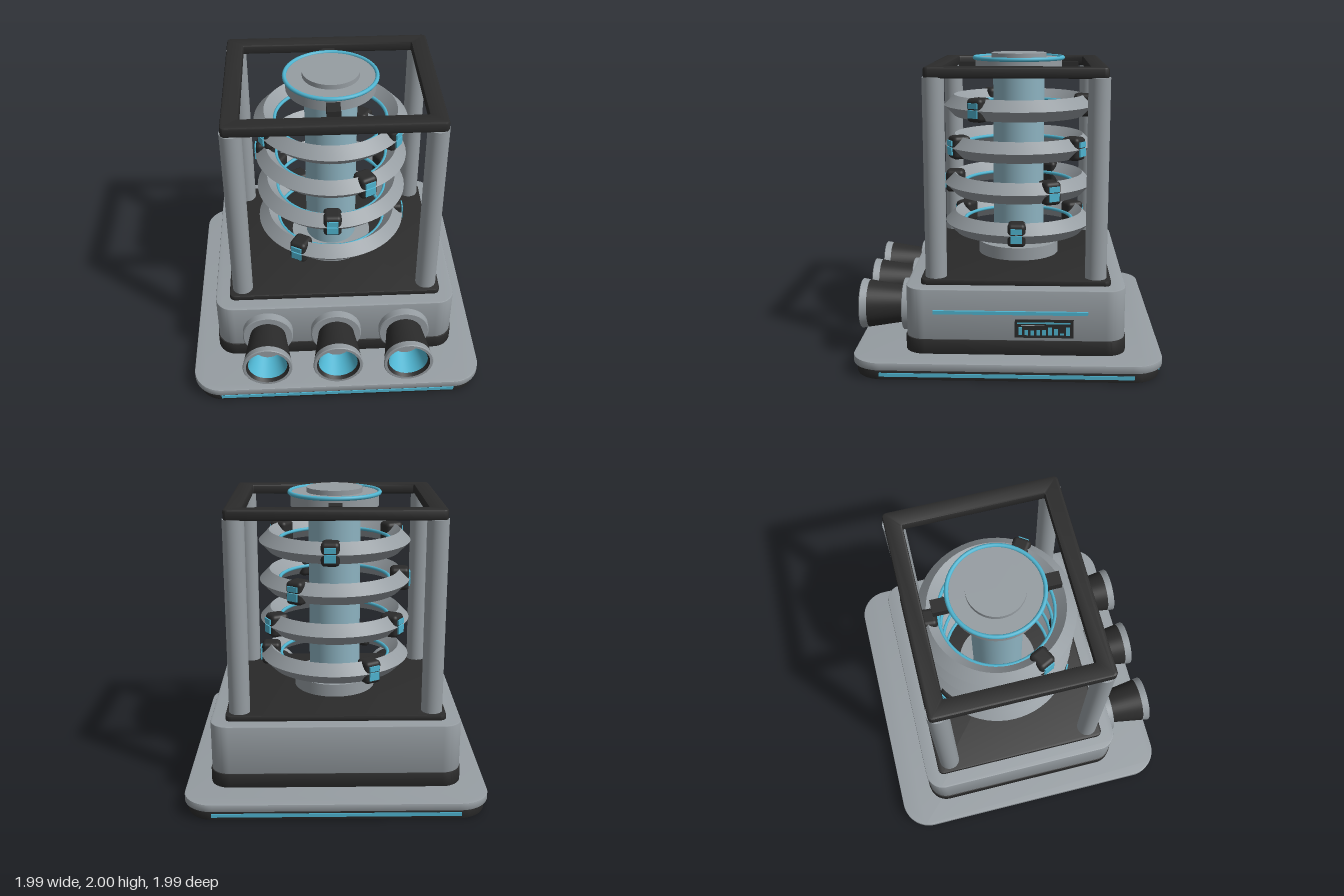
import * as THREE from 'three';
import { toCreasedNormals } from 'three/addons/utils/BufferGeometryUtils.js';
import { RoundedBoxGeometry } from 'three/addons/geometries/RoundedBoxGeometry.js';

const material = (name, color) => {
  const m = new THREE.MeshStandardMaterial({ color });
  m.name = name;
  return m;
};

// Rounded rectangle outline centred on the origin
function roundedRect(path, hx, hy, r) {
  path.moveTo(hx, -hy + r);
  path.lineTo(hx, hy - r);
  path.absarc(hx - r, hy - r, r, 0, Math.PI / 2);
  path.lineTo(-hx + r, hy);
  path.absarc(-hx + r, hy - r, r, Math.PI / 2, Math.PI);
  path.lineTo(-hx, -hy + r);
  path.absarc(-hx + r, -hy + r, r, Math.PI, Math.PI * 1.5);
  path.lineTo(hx - r, -hy);
  path.absarc(hx - r, -hy + r, r, Math.PI * 1.5, Math.PI * 2);
  return path;
}

// Horizontal slab with rounded corners, from y0 to y1, with an optional opening
function slab(hx, hz, r, y0, y1, bevel, opening) {
  const shape = roundedRect(new THREE.Shape(), hx, hz, r);
  if (opening) shape.holes.push(roundedRect(new THREE.Path(), opening[0], opening[1], 0.005));
  const g = new THREE.ExtrudeGeometry(shape, {
    depth: y1 - y0 - 2 * bevel, curveSegments: 10, bevelEnabled: true,
    bevelThickness: bevel, bevelSize: bevel, bevelOffset: -bevel, bevelSegments: 2,
  });
  g.rotateX(-Math.PI / 2).translate(0, y0 + bevel, 0);
  return toCreasedNormals(g, 0.6);
}

const lathe = (points, segments = 48) => toCreasedNormals(
  new THREE.LatheGeometry(points.map(([r, y]) => new THREE.Vector2(r, y)), segments), 0.5);

export function createModel() {
  const model = new THREE.Group();
  model.name = 'reactorDevice';
  const grey = material('metalGrey', 0x969da2);
  const dark = material('charcoal', 0x2b2b2b);
  const blue = material('glowBlue', 0x4fb4d0);
  const pale = material('paleBlue', 0x8db3c1);

  const add = (parent, name, geometry, mat, x = 0, y = 0, z = 0) => {
    const mesh = new THREE.Mesh(geometry, mat);
    mesh.name = name;
    mesh.position.set(x, y, z);
    parent.add(mesh);
    return mesh;
  };
  const box = (w, h, d) => new THREE.BoxGeometry(w, h, d);
  const cylinder = (r, h) => new THREE.CylinderGeometry(r, r, h, 48);

  // Base plates with a light strip on each side
  add(model, 'baseBottom', slab(0.975, 0.975, 0.19, 0, 0.075, 0.008), dark);
  add(model, 'baseTop', slab(0.995, 0.995, 0.2, 0.07, 0.12, 0.005), grey);
  for (let i = 0; i < 4; i++) {
    const side = new THREE.Group();
    side.name = 'baseLight';
    side.rotation.y = i * Math.PI / 2;
    add(side, 'baseLightStrip', box(1.61, 0.024, 0.012), blue, 0, 0.036, 0.975);
    model.add(side);
  }

  // Everything above the base sits slightly towards the back
  const upper = new THREE.Group();
  upper.name = 'upperAssembly';
  upper.position.z = -0.05;
  model.add(upper);

  // Housing
  add(upper, 'housingSkirt', slab(0.834, 0.715, 0.13, 0.12, 0.218, 0.004), dark);
  add(upper, 'housing', slab(0.828, 0.708, 0.125, 0.215, 0.552, 0.006), grey);
  add(upper, 'deck', slab(0.73, 0.615, 0.04, 0.55, 0.587, 0.006), dark);

  // Cage: four posts and the top frame
  for (const x of [-0.64, 0.64]) for (const z of [-0.52, 0.52]) {
    add(upper, 'post', new THREE.CylinderGeometry(0.07, 0.07, 1.3, 32), grey, x, 1.23, z);
  }
  add(upper, 'topFrame', slab(0.7, 0.578, 0.03, 1.875, 1.945, 0.014, [0.585, 0.465]), dark);

  // Central column with collar and cap
  add(upper, 'coreColumn', cylinder(0.178, 1.32), pale, 0, 1.24, 0);
  add(upper, 'coreCollar', cylinder(0.283, 0.09), grey, 0, 0.63, 0);
  add(upper, 'coreCap', cylinder(0.3, 0.09), grey, 0, 1.922, 0);
  const capRing = add(upper, 'capLight', new THREE.TorusGeometry(0.305, 0.014, 10, 64), blue, 0, 1.966, 0);
  capRing.rotation.x = Math.PI / 2;
  add(upper, 'capDisc', cylinder(0.19, 0.04), grey, 0, 1.98, 0);
  for (const s of [-1, 1]) add(upper, 'capBracket', box(0.09, 0.06, 0.13), dark, 0, 1.91, s * 0.345);

  // Four diamond-section coils, each turned a little further than the one below
  const coilShape = lathe([[0.38, 0], [0.45, -0.072], [0.52, 0], [0.45, 0.072], [0.38, 0]], 64);
  const clampShape = new RoundedBoxGeometry(0.13, 0.158, 0.122, 3, 0.028);
  const innerLight = new THREE.TorusGeometry(0.38, 0.012, 8, 64).rotateX(Math.PI / 2);
  for (let i = 0; i < 4; i++) {
    const coil = new THREE.Group();
    coil.name = 'coil';
    coil.position.y = 0.823 + i * 0.2735;
    coil.rotation.y = i * 0.5;
    add(coil, 'coilRing', coilShape, grey);
    add(coil, 'coilInnerLight', innerLight, blue);
    for (let k = 0; k < 3; k++) {
      const clamp = new THREE.Group();
      clamp.name = 'coilClamp';
      clamp.rotation.y = k * Math.PI * 2 / 3;
      add(clamp, 'clampBlock', clampShape, dark, 0.45);
      add(clamp, 'clampLightUpper', box(0.02, 0.036, 0.075), blue, 0.515, 0.031);
      add(clamp, 'clampLightLower', box(0.02, 0.054, 0.075), blue, 0.515, -0.023);
      coil.add(clamp);
    }
    upper.add(coil);
  }

  // Three flared emitters on the front
  const parts = [
    ['emitterFlange', grey, [[0.175, 0.64], [0.175, 0.705], [0.168, 0.71], [0.1, 0.71]]],
    ['emitterBarrel', dark, [[0.122, 0.7], [0.16, 0.945]]],
    ['emitterRim', grey, [[0.16, 0.945], [0.168, 0.99], [0.163, 0.995], [0.145, 0.995]]],
    ['emitterLip', dark, [[0.145, 0.995], [0.132, 0.97]]],
    ['emitterGlow', blue, [[0.132, 0.97], [0.09, 0.82]]],
    ['emitterLens', grey, [[0.09, 0.82], [0, 0.82]]],
  ].map(([name, mat, points]) => [name, lathe(points).rotateX(Math.PI / 2), mat]);
  for (const x of [-0.475, 0, 0.475]) {
    const emitter = new THREE.Group();
    emitter.name = 'emitter';
    emitter.position.set(x, 0.335, 0);
    for (const [name, geometry, mat] of parts) add(emitter, name, geometry, mat);
    model.add(emitter);
  }

  // Light strip and bar display on the left side
  add(model, 'sideLight', box(0.02, 0.022, 0.99), blue, 0.834, 0.405, -0.02);
  add(model, 'displayPanel', box(0.01, 0.122, 0.375), dark, 0.828, 0.3, -0.237);
  add(model, 'displayLine', box(0.004, 0.01, 0.34), blue, 0.833, 0.338, -0.235);
  add(model, 'displayShortLine', box(0.004, 0.005, 0.15), grey, 0.833, 0.322, -0.165);
  [0.053, 0.036, 0.032, 0.036, 0.036, 0.055, 0.045, 0.015, 0.055].forEach((h, i) => {
    add(model, 'displayBar', box(0.004, h, 0.024), blue, 0.833, 0.257 + h / 2, -0.085 - i * 0.038);
  });

  return model;
}
